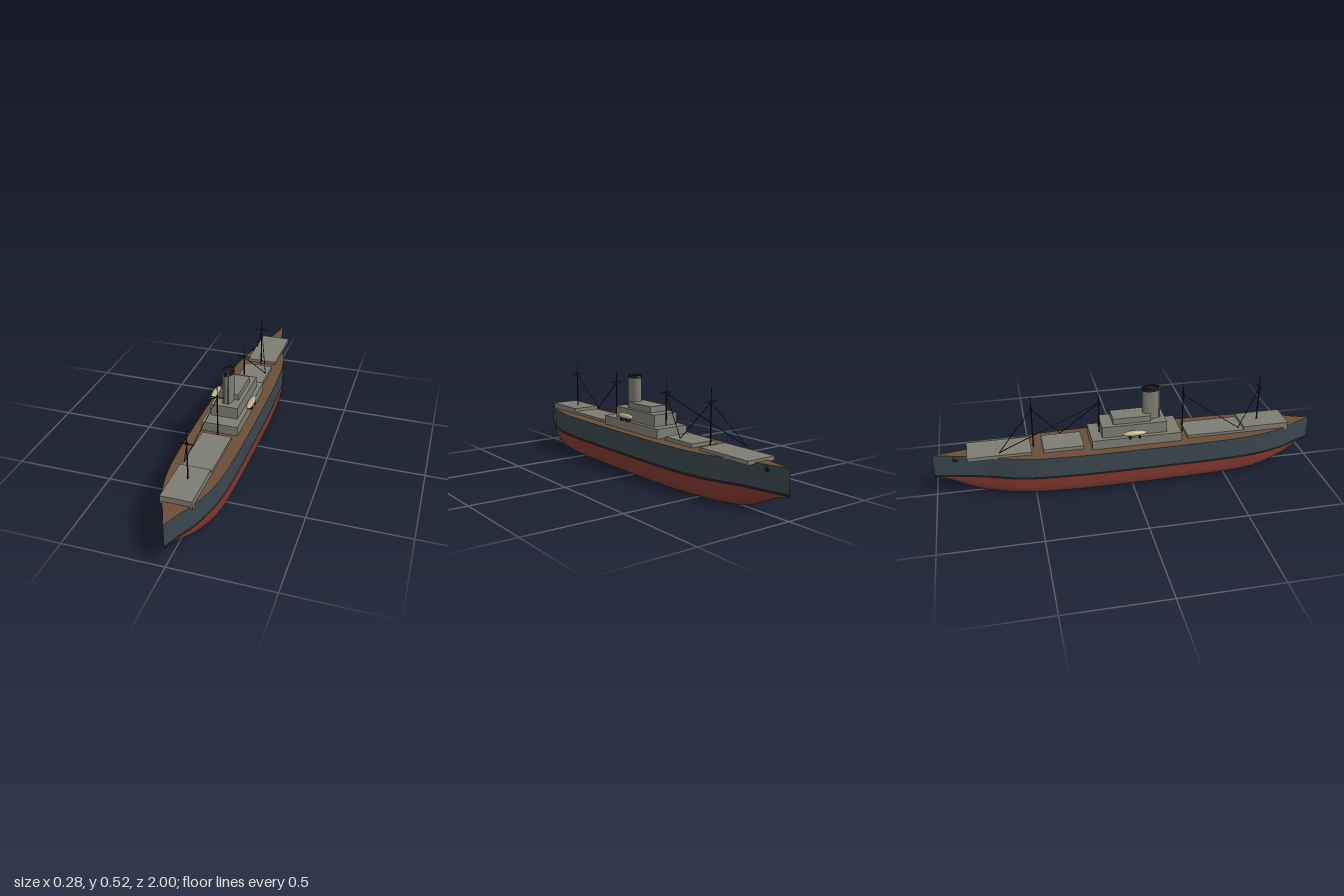
import * as THREE from 'three';

const mat = (color, side = THREE.FrontSide) => new THREE.MeshStandardMaterial({ color, side });
const COLORS = {
  red: 0x7d372e, boot: 0x1a1e20, side: 0x3a464d, deck: 0x6a4f38,
  house: 0x7c7c72, black: 0x18191a, boat: 0xb8ab88,
};

// Hull stations from bow to stern: z, deck half width, keel height
const STATIONS = [
  [1, 0.0006, 0.104], [0.95, 0.02, 0.095], [0.9, 0.042, 0.076], [0.84, 0.072, 0.055], [0.76, 0.098, 0.034],
  [0.68, 0.117, 0.018], [0.58, 0.13, 0.009], [0.4, 0.138, 0.004], [0.2, 0.141, 0.002],
  [0, 0.142, 0.001], [-0.2, 0.142, 0], [-0.36, 0.137, 0.001], [-0.48, 0.128, 0.002], [-0.6, 0.107, 0.003],
  [-0.68, 0.08, 0.004], [-0.74, 0.06, 0.009], [-0.8, 0.044, 0.026], [-0.86, 0.031, 0.052],
  [-0.93, 0.015, 0.085], [-1, 0.0006, 0.104],
];
const WATER = 0.105, BOOT = 0.118;
const sheer = (z) => 0.223 + 0.008 * z ** 4;

export function createModel() {
  const ship = new THREE.Group();
  ship.name = 'steamship';
  const mats = Object.fromEntries(Object.entries(COLORS).map(([k, c]) => [k, mat(c)]));

  const add = (name, geometry, material, x = 0, y = 0, z = 0) => {
    const mesh = new THREE.Mesh(geometry, mats[material]);
    mesh.name = name;
    mesh.position.set(x, y, z);
    ship.add(mesh);
    return mesh;
  };

  // Box given by width, bottom, top and its two z limits
  const block = (name, w, y0, y1, z0, z1, material = 'house') =>
    add(name, new THREE.BoxGeometry(w, y1 - y0, z1 - z0), material, 0, (y0 + y1) / 2, (z0 + z1) / 2);

  // Thin round bar between two points
  const bar = (name, a, b, r, material = 'black') => {
    const p = new THREE.Vector3(...a), q = new THREE.Vector3(...b);
    const mesh = add(name, new THREE.CylinderGeometry(r, r, p.distanceTo(q), 8), material);
    mesh.position.copy(p).lerp(q, 0.5);
    mesh.quaternion.setFromUnitVectors(new THREE.Vector3(0, 1, 0), q.sub(p).normalize());
  };

  // Hull skins: each joins one open cross-section per station
  const stations = new THREE.CatmullRomCurve3(
    STATIONS.map(([z, w, k]) => new THREE.Vector3(w, k, z))).getPoints(95);
  const loft = (name, material, section) => {
    const pos = [], index = [];
    let n = 0;
    stations.forEach((s, i) => {
      const ring = section(Math.max(s.x, 0.0006), Math.max(0, Math.min(s.y, 0.104)), s.z);
      n = ring.length;
      ring.forEach(([x, y]) => pos.push(x, y, s.z));
      if (i === 0) return;
      for (let j = 0; j < n - 1; j++) {
        const a = (i - 1) * n + j, b = i * n + j;
        index.push(a, a + 1, b, b, a + 1, b + 1);
      }
    });
    const g = new THREE.BufferGeometry();
    g.setAttribute('position', new THREE.Float32BufferAttribute(pos, 3));
    g.setIndex(index);
    g.computeVertexNormals();
    add(name, g, material);
  };

  // Rounded bottom, full amidships and sharper towards both ends
  loft('hullBottom', 'red', (w, k) => {
    const e = 2 / (1.8 + 2.8 * Math.min(1, w / 0.14));
    return Array.from({ length: 33 }, (_, j) => {
      const t = (j / 32) * Math.PI, c = Math.cos(t);
      return [w * Math.sign(c) * Math.abs(c) ** e, WATER - (WATER - k) * Math.abs(Math.sin(t)) ** e];
    });
  });
  for (const s of [1, -1]) {
    const strip = (lo, hi) => (w, k, z) => {
      const pts = [[s * w, hi(z)], [s * w, lo(z)]];
      return s > 0 ? pts : pts.reverse();
    };
    loft('waterlineBand', 'boot', strip(() => WATER, () => BOOT));
    loft('hullSide', 'side', strip(() => BOOT, sheer));
  }
  loft('deck', 'deck', (w, k, z) => [[-w, sheer(z)], [w, sheer(z)]]);

  // Raised deck and hatches
  block('foreRaisedDeck', 0.15, 0.215, 0.255, 0.605, 0.85);
  block('foreHatch', 0.15, 0.215, 0.238, 0.3, 0.605);
  block('aftHatch', 0.15, 0.215, 0.242, -0.45, -0.245);
  block('aftRaisedDeck', 0.16, 0.22, 0.239, -0.83, -0.51);

  // Deckhouse in three tiers
  block('lowerHouse', 0.186, 0.215, 0.272, -0.205, 0.262);
  block('middleHouse', 0.14, 0.272, 0.332, -0.15, 0.187);
  block('upperHouse', 0.1, 0.332, 0.363, -0.09, 0.107);

  // Oval funnel with open black rim and two steam pipes
  const oval = (name, r, y0, y1, material) => {
    add(name, new THREE.CylinderGeometry(r, r, y1 - y0, 32), material, 0, (y0 + y1) / 2, 0.115).scale.z = 1.6;
  };
  oval('funnel', 0.0275, 0.33, 0.494, 'house');
  const rim = new THREE.LatheGeometry(
    [[0.026, 0.485], [0.029, 0.485], [0.029, 0.5], [0.026, 0.5], [0.026, 0.485]]
      .map(([x, y]) => new THREE.Vector2(x, y)), 32);
  add('funnelRim', rim, 'black', 0, 0, 0.115).scale.z = 1.6;
  oval('funnelMouth', 0.026, 0.492, 0.495, 'black');
  for (const x of [-0.013, 0.013]) bar('steamPipe', [x, 0.33, 0.16], [x, 0.52, 0.16], 0.004, 'house');

  // Masts with crosstrees
  const MASTS = [[0.7, 0.25], [0.288, 0.22], [-0.155, 0.22], [-0.495, 0.22]];
  for (const [z, y] of MASTS) {
    bar('mast', [0, y, z], [0, 0.445, z], 0.0035);
    bar('topmast', [0, 0.44, z], [0, 0.505, z], 0.0018);
    bar('crosstree', [-0.034, 0.441, z], [0.034, 0.441, z], 0.0025);
    add('mastCollar', new THREE.CylinderGeometry(0.007, 0.007, 0.01, 12), 'black', 0, 0.443, z);
  }

  // Cargo booms: mast z, foot x, foot z
  for (const [z, x, fz] of [[0.7, -0.065, 0.575], [0.288, -0.065, 0.575], [-0.155, 0.065, -0.35],
    [-0.495, 0.065, -0.35], [-0.155, -0.07, -0.67], [-0.495, -0.07, -0.67]]) {
    bar('cargoBoom', [0, 0.437, z], [x, 0.25, fz], 0.002);
  }

  // Lifeboats on chocks, and anchors
  for (const [s, z] of [[1, 0.055], [-1, 0.012]]) {
    const x = s * 0.102;
    add('lifeboat', new THREE.SphereGeometry(1, 24, 16), 'boat', x, 0.3, z).scale.set(0.017, 0.0145, 0.064);
    for (const dz of [-0.025, 0.025]) {
      add('boatChock', new THREE.BoxGeometry(0.03, 0.02, 0.008), 'black', x, 0.284, z + dz);
    }
    add('anchor', new THREE.SphereGeometry(0.012, 12, 8), 'black', s * 0.025, 0.208, -0.89).scale.x = 0.5;
  }
  return ship;
}
